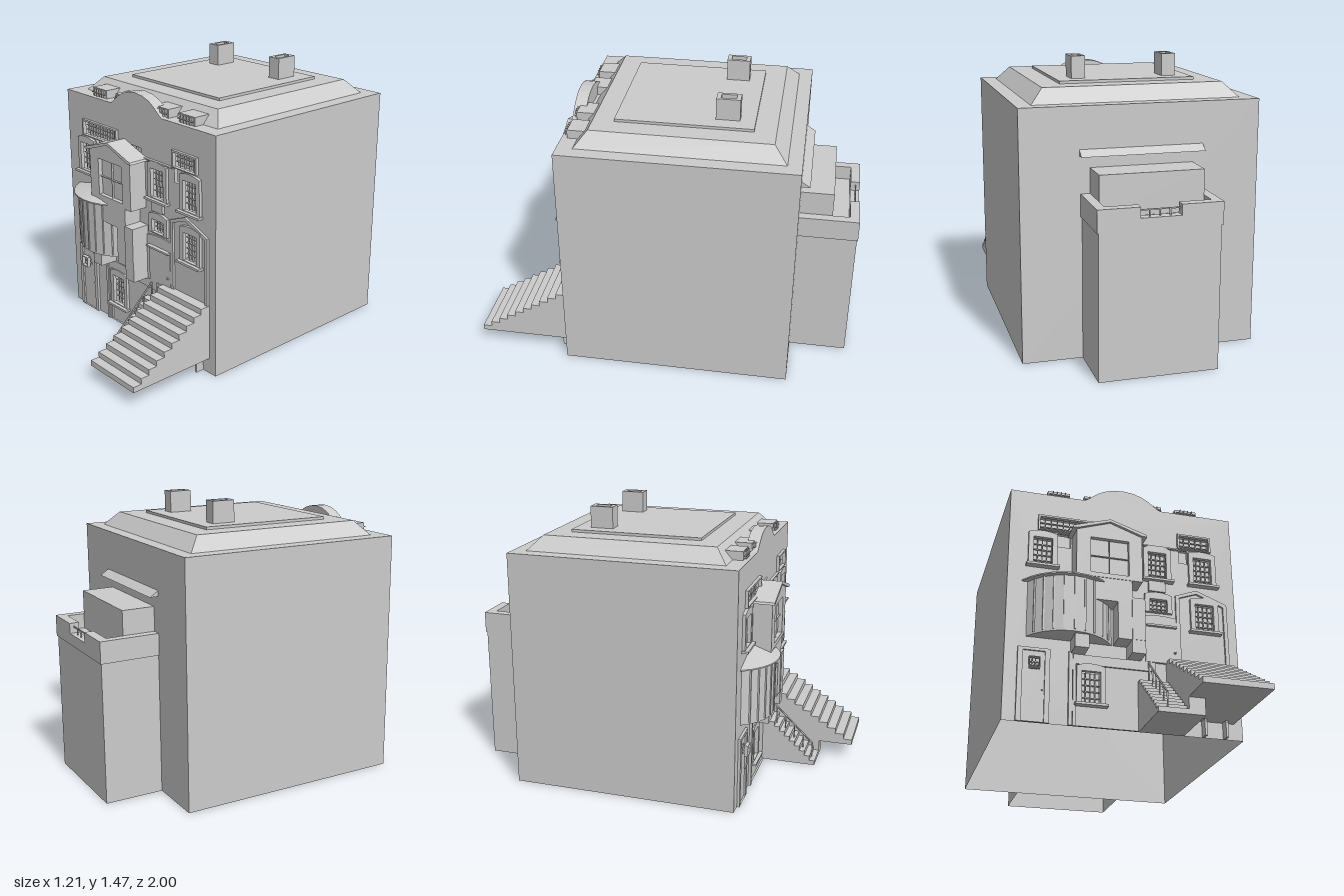
import * as THREE from 'three';

const mat = new THREE.MeshStandardMaterial({ color: 0xcccccc, flatShading: true, side: THREE.DoubleSide });
const F = 0.515; // plane of the front wall

export function createModel() {
  const house = new THREE.Group();
  house.name = 'house';

  const add = (name, geo, parent = house) => {
    const m = new THREE.Mesh(geo, mat);
    m.name = name;
    parent.add(m);
    return m;
  };
  // Box given by its limits
  const box = (name, x0, x1, y0, y1, z0, z1, parent) =>
    add(name, new THREE.BoxGeometry(x1 - x0, y1 - y0, z1 - z0)
      .translate((x0 + x1) / 2, (y0 + y1) / 2, (z0 + z1) / 2), parent);
  const poly = pts => new THREE.Shape(pts.map(p => new THREE.Vector2(...p)));
  const rect = (x0, x1, y0, y1) => poly([[x0, y0], [x1, y0], [x1, y1], [x0, y1]]);
  // Rectangle whose top bulges into a shallow arch
  const arched = (x0, x1, y0, y1, rise) => {
    if (!rise) return rect(x0, x1, y0, y1);
    const s = new THREE.Shape();
    s.moveTo(x0, y0).lineTo(x1, y0).lineTo(x1, y1 - rise)
      .quadraticCurveTo((x0 + x1) / 2, y1 + rise, x0, y1 - rise);
    return s;
  };
  const extrude = (name, shape, z0, z1, parent) =>
    add(name, new THREE.ExtrudeGeometry(shape, { depth: z1 - z0, bevelEnabled: false, curveSegments: 6 })
      .translate(0, 0, z0), parent);
  // Profile in (z, y) extruded across x
  const across = (name, pts, x0, x1) =>
    add(name, new THREE.ExtrudeGeometry(poly(pts), { depth: x1 - x0, bevelEnabled: false })
      .rotateY(-Math.PI / 2).translate(x1, 0, 0));
  // Box walls without the listed faces (0 +x, 1 -x, 2 +y, 3 -y, 4 +z, 5 -z)
  const openBox = (name, x0, x1, y0, y1, z0, z1, skip) => {
    const g = box(name, x0, x1, y0, y1, z0, z1).geometry;
    g.setIndex([...g.index.array].filter((_, i) => !skip.includes(Math.floor(i / 6))));
  };

  // Main walls, open below, with a pierced front
  openBox('mainWalls', -0.605, 0.605, 0, 1.27, -0.69, F, [3, 4]);
  const front = rect(-0.605, 0.605, 0, 1.27);

  // Window: wall opening, set-back pane, glazing bars, frame and sill
  const addWindow = (name, x, y, w, h, o = {}) => {
    const { rise = 0, cols = 4, rows = 5, frame = 0.026, sill = false, z = F, hole = true } = o;
    const g = new THREE.Group();
    g.name = name;
    house.add(g);
    const x0 = x - w / 2, x1 = x + w / 2;
    if (hole) front.holes.push(rect(x0, x1, y, y + h));
    box('pane', x0, x1, y, y + h, z - 0.02, z - 0.018, g);
    for (let i = 1; i < cols; i++) {
      const bx = x0 + w * i / cols;
      box('uprightBar', bx - 0.002, bx + 0.002, y, y + h, z - 0.016, z - 0.006, g);
    }
    for (let i = 1; i < rows; i++) {
      const by = y + h * i / rows;
      box('crossBar', x0, x1, by - 0.002, by + 0.002, z - 0.016, z - 0.006, g);
    }
    if (frame) {
      const s = arched(x0 - frame, x1 + frame, y - 0.005, y + h + frame + rise, rise);
      s.holes.push(rect(x0, x1, y, y + h));
      extrude('frame', s, z - 0.004, z + 0.016, g);
    }
    if (sill) box('sill', x0 - 0.036, x1 + 0.036, y - 0.016, y - 0.004, z, z + 0.035, g);
  };

  // Top floor
  addWindow('topLeftWindow', -0.305, 1.05, 0.285, 0.075, { cols: 9, rows: 3, frame: 0.01 });
  addWindow('topRightWindow', 0.39, 1.05, 0.165, 0.075, { cols: 5, rows: 3, frame: 0.01 });
  addWindow('topMiddleWindow', -0.055, 0.97, 0.19, 0.11, { cols: 4, rows: 3, frame: 0 });
  addWindow('sideLightLeft', -0.318, 0.965, 0.07, 0.075, { cols: 1, rows: 1, frame: 0 });
  addWindow('sideLightRight', 0.33, 0.965, 0.05, 0.075, { cols: 1, rows: 1, frame: 0 });
  box('ledge', 0.07, 0.3, 1.035, 1.042, F, F + 0.015);
  // Second floor
  for (const x of [-0.43, 0.18, 0.43])
    addWindow('upperWindow', x, 0.845, 0.098, 0.155, { rise: 0.014, cols: 4, rows: 5, sill: true });
  box('apron', 0.13, 0.22, 0.77, 0.83, F, F + 0.015);
  // First floor right and basement
  addWindow('hallWindow', 0.43, 0.575, 0.1, 0.15, { rise: 0.014, cols: 4, rows: 5, sill: true });
  addWindow('fanWindow', 0.18, 0.655, 0.094, 0.07, { rise: 0.014, cols: 4, rows: 3 });
  addWindow('basementWindow', -0.175, 0.12, 0.094, 0.165, { rise: 0.014, cols: 4, rows: 5, sill: true });
  add('frontWall', new THREE.ShapeGeometry(front).translate(0, 0, F));

  // Gabled surround of the entrance
  const porch = poly([[0.275, 0.37], [0.555, 0.37], [0.555, 0.74], [0.39, 0.805], [0.275, 0.76]]);
  porch.holes.push(poly([[0.295, 0.375], [0.535, 0.375], [0.535, 0.725], [0.39, 0.785], [0.295, 0.75]]));
  extrude('entranceSurround', porch, F, F + 0.012);

  // Entrance door
  extrude('entranceDoorFrame', arched(0.08, 0.295, 0.37, 0.635, 0.012), F, F + 0.008);
  box('entranceDoor', 0.105, 0.275, 0.37, 0.57, F, F + 0.014);
  box('doorLintel', 0.1, 0.27, 0.565, 0.575, F, F + 0.03);
  add('doorKnob', new THREE.SphereGeometry(0.007, 8, 6).translate(0.26, 0.43, F + 0.018));

  // Basement door and wall panel
  const doorFrame = rect(-0.54, -0.38, 0, 0.38);
  doorFrame.holes.push(rect(-0.515, -0.405, 0.002, 0.365));
  extrude('basementDoorFrame', doorFrame, F, F + 0.014);
  box('basementDoor', -0.515, -0.405, 0, 0.365, F, F + 0.005);
  addWindow('doorLight', -0.46, 0.27, 0.046, 0.05, { cols: 3, rows: 3, frame: 0.004, hole: false, z: F + 0.024 });
  add('basementDoorKnob', new THREE.SphereGeometry(0.005, 8, 6).translate(-0.415, 0.165, F + 0.008));
  box('drainPipe', -0.287, -0.268, 0, 0.38, F, F + 0.015);
  const panel = rect(-0.265, 0.155, 0, 0.37);
  panel.holes.push(rect(-0.25, 0.14, 0.002, 0.32));
  extrude('basementPanel', panel, F, F + 0.01);

  // Gabled oriel
  const oriel = poly([[-0.275, 0.765], [0.07, 0.765], [0.07, 1.035], [-0.1, 1.085], [-0.275, 1.035]]);
  oriel.holes.push(rect(-0.2, 0, 0.79, 0.99));
  extrude('oriel', oriel, F, 0.615);
  addWindow('orielWindow', -0.1, 0.79, 0.2, 0.2, { cols: 2, rows: 2, frame: 0, z: 0.61, hole: false });
  extrude('orielRoof', poly([[-0.3, 1.025], [-0.275, 1.025], [-0.1, 1.085], [0.07, 1.025], [0.095, 1.025],
    [0.09, 1.037], [-0.1, 1.1], [-0.295, 1.037]]), F, 0.63);

  // Square bay under the oriel, with brackets
  box('orielBase', -0.275, 0.015, 0.64, 0.765, F, 0.612);
  box('squareBay', -0.06, 0.015, 0.44, 0.64, F, 0.612);
  box('squareBayPier', 0.012, 0.08, 0.44, 0.67, F, 0.617);
  for (const x of [-0.278, 0.01]) box('bayBracket', x, x + 0.07, 0.37, 0.44, F, 0.615);

  // Curved bay: wall, floor, eaves and sloping roof
  const cx = -0.285, cz = 0.385, segs = 10;
  const arc = R => {
    const a = Math.acos((F - cz) / R);
    return Array.from({ length: segs + 1 }, (_, i) => {
      const t = a * (2 * i / segs - 1);
      return [cx + R * Math.sin(t), cz + R * Math.cos(t)];
    });
  };
  const slab = (name, R, y0, y1) =>
    add(name, new THREE.ExtrudeGeometry(poly(arc(R)), { depth: y1 - y0, bevelEnabled: false })
      .rotateX(Math.PI / 2).translate(0, y1, 0));
  slab('curvedBay', 0.252, 0.44, 0.745);
  slab('curvedBayEaves', 0.278, 0.74, 0.747);
  arc(0.254).slice(1, -1).forEach(([x, z]) => box('bayMullion', x - 0.004, x + 0.004, 0.45, 0.74, z - 0.006, z + 0.002));
  const a = Math.acos((F - cz) / 0.278);
  const cone = new THREE.CylinderGeometry(0.0001, 0.278, 0.055, segs, 1, true, -a, 2 * a).translate(cx, 0.7745, cz);
  const p = cone.attributes.position;
  for (let i = 0; i < p.count; i++) if (p.getY(i) > 0.78) p.setZ(i, F);
  add('curvedBayRoof', cone);

  // Stairs as a stepped profile from z0 (foot) back to the wall
  const stairs = (name, x0, x1, zFoot, zTop, yFoot, yTop, n) => {
    const pts = [[F, yFoot], [zFoot, yFoot]];
    const rise = (yTop - yFoot) / n, run = (zFoot - zTop) / (n - 1);
    for (let i = 0; i < n; i++) {
      pts.push([zFoot - i * run, yFoot + (i + 1) * rise]);
      pts.push([i < n - 1 ? zFoot - (i + 1) * run : F, yFoot + (i + 1) * rise]);
    }
    across(name, pts, x0, x1);
  };
  stairs('mainStairs', 0.215, 0.56, 1, 0.57, 0.085, 0.38, 10);
  stairs('sideStairs', 0.065, 0.215, 0.815, 0.55, 0, 0.26, 10);
  box('sideStairsFoot', 0.215, 0.295, 0, 0.085, F, 0.815);
  for (const x of [0.39, 0.5]) box('stairPost', x, x + 0.012, 0, 0.085, F, 0.56);

  // Railing of the side stairs
  const rail = new THREE.LineCurve3(new THREE.Vector3(0.12, 0.11, 0.79), new THREE.Vector3(0.12, 0.36, 0.53));
  add('handrail', new THREE.TubeGeometry(rail, 1, 0.005, 6));
  for (let i = 0; i < 6; i++) {
    const q = rail.getPoint(i / 5);
    box('railPost', 0.117, 0.123, q.y - 0.11, q.y, q.z - 0.003, q.z + 0.003);
  }

  // Mansard: a four-sided frustum with its corners placed by rule
  const mansard = new THREE.BoxGeometry(2, 2, 2);
  const mp = mansard.attributes.position;
  for (let i = 0; i < mp.count; i++) {
    const top = mp.getY(i) > 0;
    const back = mp.getZ(i) < 0;
    mp.setXYZ(i, mp.getX(i) * (top ? 0.46 : 0.53), top ? 1.343 : 1.268,
      back ? (top ? -0.55 : -0.62) : (top ? 0.37 : 0.435));
  }
  add('mansardRoof', mansard);
  box('roofDeck', -0.35, 0.35, 1.34, 1.357, -0.44, 0.26);

  // Hollow chimneys
  for (const x of [-0.24, 0.235]) {
    const s = rect(x - 0.036, x + 0.036, 0.24, 0.362);
    s.holes.push(rect(x - 0.02, x + 0.02, 0.262, 0.34));
    add('chimney', new THREE.ExtrudeGeometry(s, { depth: 0.12, bevelEnabled: false })
      .rotateX(-Math.PI / 2).translate(0, 1.35, 0));
  }

  // Dormers and the curved parapet
  for (const x of [-0.343, -0.145, 0.167, 0.365]) {
    box('dormer', x - 0.06, x + 0.06, 1.27, 1.315, 0.39, 0.485);
    addWindow('dormerWindow', x, 1.273, 0.11, 0.038, { cols: 5, rows: 2, frame: 0, z: 0.505, hole: false });
  }
  const crown = new THREE.Shape();
  crown.moveTo(-0.215, 1.268).bezierCurveTo(-0.17, 1.28, -0.14, 1.36, 0, 1.362)
    .bezierCurveTo(0.14, 1.36, 0.17, 1.28, 0.215, 1.268);
  extrude('curvedParapet', crown, 0.45, F);

  // Rear wing with terrace, parapet and stair head
  openBox('rearWing', -0.3, 0.3, 0, 0.765, -0.995, -0.69, [3, 4]);
  for (const s of [-1, 1]) {
    box('terraceSideWall', Math.min(s * 0.26, s * 0.307), Math.max(s * 0.26, s * 0.307), 0.73, 0.843, -1, -0.69);
    box('terraceBackWall', Math.min(s * 0.1, s * 0.307), Math.max(s * 0.1, s * 0.307), 0.73, 0.843, -1, -0.95);
  }
  box('terraceNotch', -0.1, 0.1, 0.73, 0.79, -1, -0.95);
  box('notchRail', -0.1, 0.1, 0.82, 0.826, -0.98, -0.974);
  for (let i = -1; i < 2; i++) box('notchPost', i * 0.05 - 0.003, i * 0.05 + 0.003, 0.79, 0.82, -0.98, -0.974);
  box('stairHead', -0.26, 0.26, 0.765, 0.97, -0.86, -0.69);
  across('rearCanopy', [[-0.69, 1.06], [-0.735, 1.03], [-0.69, 1.03]], -0.312, 0.312);

  return house;
}
